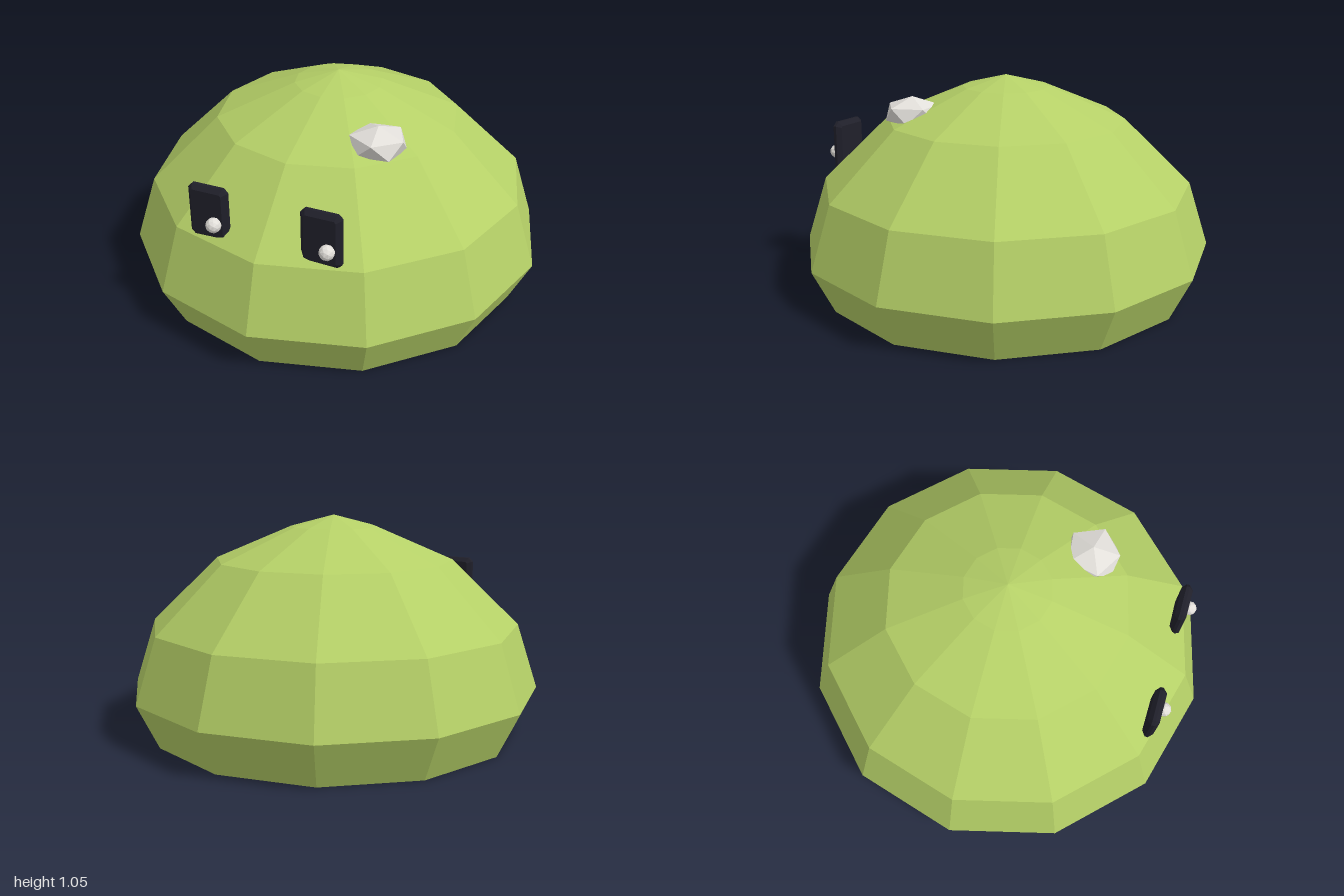
import * as THREE from 'three';

const mat = (name, color) => {
  const m = new THREE.MeshStandardMaterial({ color });
  m.name = name;
  m.flatShading = true;
  return m;
};

export function createModel() {
  const group = new THREE.Group();
  group.name = 'slimeBlob';
  const green = mat('slime green', 0xb5d067);
  const black = mat('eye black', 0x20202a);
  const white = mat('shine white', 0xe2dfda);

  const add = (name, geometry, material, x, y, z) => {
    const mesh = new THREE.Mesh(geometry, material);
    mesh.name = name;
    mesh.position.set(x, y, z);
    group.add(mesh);
    return mesh;
  };

  // Twelve-sided dome with a tucked-in, closed base
  const profile = [[0, 0], [0.895, 0], [1, 0.215], [0.9, 0.527], [0.577, 0.842], [0.207, 1.0], [0, 1.055]]
    .map(([r, y]) => new THREE.Vector2(r, y));
  add('body', new THREE.LatheGeometry(profile, 12), green, 0, 0, 0);

  // Bevelled upright eye plate, partly sunk into the dome
  const bevel = 0.02, w = 0.0935 - bevel, h = 0.128 - bevel, c = 0.008;
  const outline = new THREE.Shape([
    [-w + c, -h], [w - c, -h], [w, -h + c], [w, h - c],
    [w - c, h], [-w + c, h], [-w, h - c], [-w, -h + c],
  ].map(([x, y]) => new THREE.Vector2(x, y)));
  const eye = new THREE.ExtrudeGeometry(outline, {
    depth: 0.015, bevelEnabled: true, bevelSize: bevel, bevelThickness: bevel, bevelSegments: 1,
  });
  eye.translate(0, 0, -0.0075);

  // Eyes, each with a small glint offset to the same side
  const glint = new THREE.IcosahedronGeometry(0.035, 1);
  for (const [side, x] of [['right', -0.265], ['left', 0.265]]) {
    add(side + 'Eye', eye, black, x, 0.659, 0.789);
    add(side + 'EyeGlint', glint, white, x + 0.04, 0.622, 0.832);
  }

  // Flattened faceted highlight near the crown, one vertex pointing up
  const shine = new THREE.IcosahedronGeometry(1, 0);
  shine.rotateZ(Math.atan(2 / (1 + Math.sqrt(5))));
  shine.rotateY(0.42);
  shine.scale(0.143, 0.078, 0.143);
  add('crownHighlight', shine, white, 0.325, 0.89, 0.315);

  return group;
}
